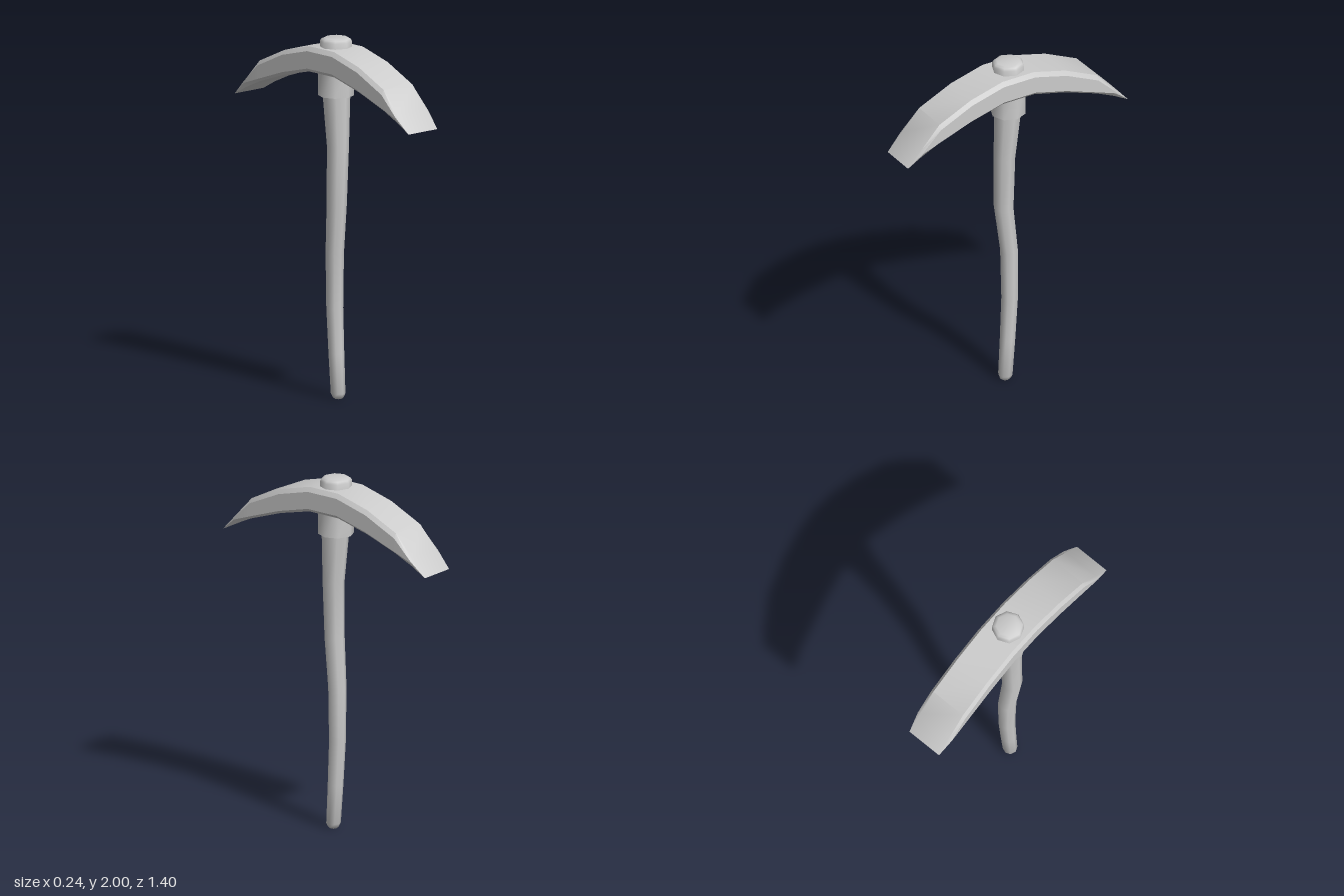
import * as THREE from 'three';
import { toCreasedNormals } from 'three/addons/utils/BufferGeometryUtils.js';

const material = new THREE.MeshStandardMaterial({ color: 0xcccccc });

// Skin closed rings (counter-clockwise about the direction of travel) and cap both ends
function loft(rings, crease) {
  const n = rings[0].length, pos = [];
  const tri = (a, b, c) => {
    const area = b.clone().sub(a).cross(c.clone().sub(a)).length();
    if (area > 1e-7) for (const p of [a, b, c]) pos.push(p.x, p.y, p.z);
  };
  for (let i = 0; i < rings.length - 1; i++) {
    for (let j = 0; j < n; j++) {
      const k = (j + 1) % n, r = rings[i], s = rings[i + 1];
      tri(r[j], r[k], s[k]);
      tri(r[j], s[k], s[j]);
    }
  }
  const first = rings[0], last = rings[rings.length - 1];
  for (let j = 1; j < n - 1; j++) {
    tri(first[0], first[j + 1], first[j]);
    tri(last[0], last[j], last[j + 1]);
  }
  const g = new THREE.BufferGeometry();
  g.setAttribute('position', new THREE.Float32BufferAttribute(pos, 3));
  return toCreasedNormals(g, crease);
}

// Eight-sided ring around the vertical axis
function octagon([y, r, x = 0, z = 0]) {
  return Array.from({ length: 8 }, (_, i) => {
    const a = (i * Math.PI) / 4;
    return new THREE.Vector3(x + r * Math.sin(a), y, z + r * Math.cos(a));
  });
}

// Bevelled cross-section of the head at one depth
function headSection([z, top, upper, lower, bottom, mid]) {
  const edge = 0.105;
  return [
    [edge, bottom], [mid, lower], [mid, upper], [edge, top],
    [-edge, top], [-mid, upper], [-mid, lower], [-edge, bottom],
  ].map(([x, y]) => new THREE.Vector3(x, y, z));
}

export function createModel() {
  const group = new THREE.Group();
  const add = (name, geometry) => {
    const mesh = new THREE.Mesh(geometry, material);
    mesh.name = name;
    group.add(mesh);
  };

  // Curved head: z, top, upper bevel, lower bevel, bottom, half width
  const half = [
    [0.1, 1.95, 1.925, 1.828, 1.81, 0.122],
    [0.3, 1.897, 1.872, 1.776, 1.76, 0.122],
    [0.5, 1.805, 1.78, 1.705, 1.69, 0.122],
    [0.61, 1.687, 1.675, 1.665, 1.64, 0.122],
    [0.7, 1.59, 1.59, 1.59, 1.59, 0.105],
  ];
  const mirrored = half.map(([z, ...rest]) => [-z, ...rest]).reverse();
  add('head', loft([...mirrored, ...half].map(headSection), 0.5));

  // Slightly crooked handle: y, radius, x offset, z offset
  add('handle', loft([
    [0, 0.02, 0, 0.018],
    [0.008, 0.03, 0, 0.018],
    [0.03, 0.04, 0, 0.017],
    [0.25, 0.043, 0, 0.003],
    [0.5, 0.046, 0, -0.01],
    [0.8, 0.05, -0.002, -0.008],
    [1.08, 0.055, -0.013, 0.02],
    [1.4, 0.06, -0.004, 0.02],
    [1.68, 0.075, 0, 0.004],
    [1.86, 0.078, 0, 0],
  ].map(octagon), 1));

  // Collar below the head
  add('collar', loft([[1.68, 0.098], [1.86, 0.098]].map(octagon), 1));

  // Handle end showing above the head
  add('topKnob', loft([
    [1.9, 0.088], [1.98, 0.088], [1.993, 0.08], [2, 0.065],
  ].map(octagon), 1));

  return group;
}
